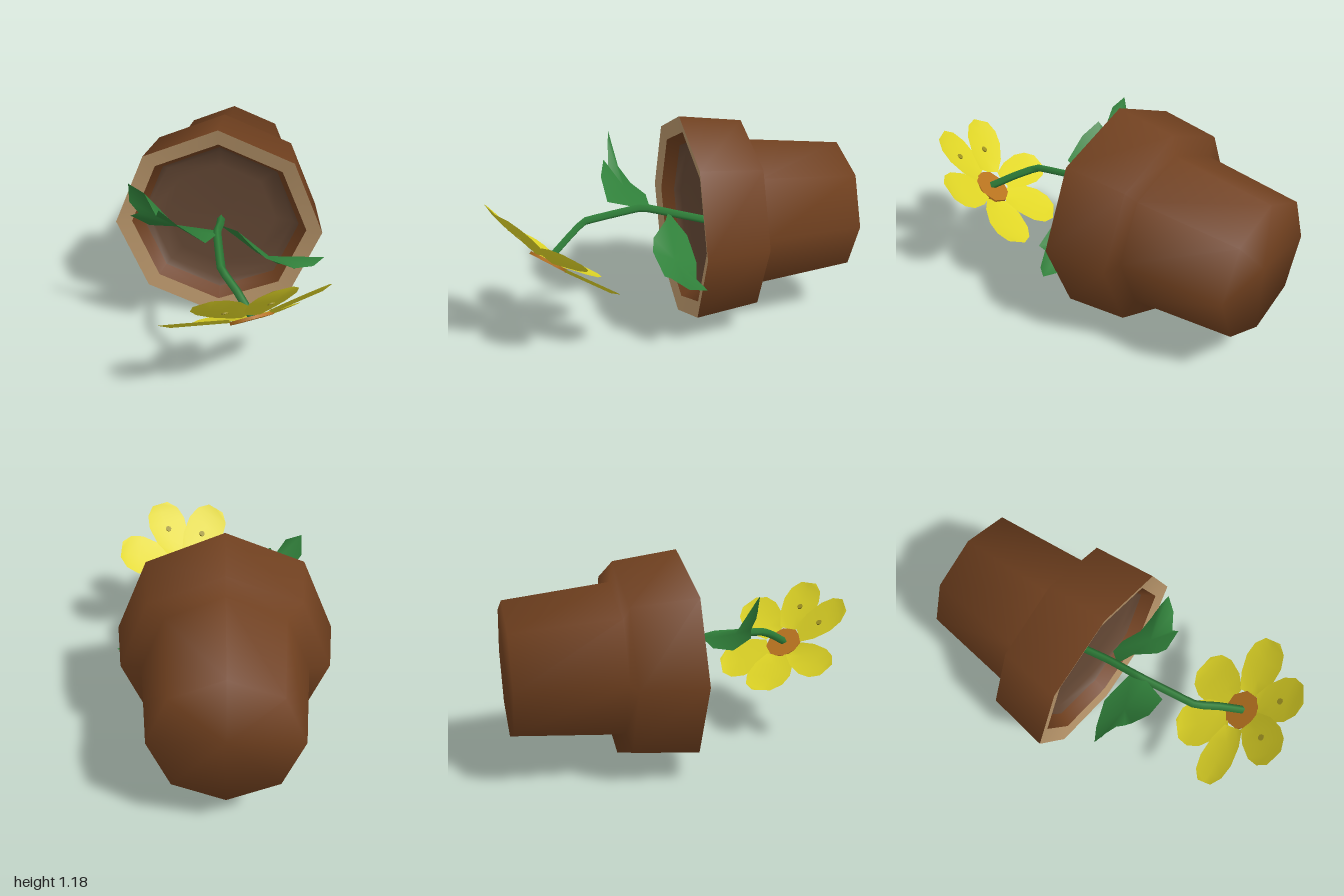
import * as THREE from 'three';

const mat = (name, color) => {
  const m = new THREE.MeshStandardMaterial({ color, side: THREE.DoubleSide });
  m.name = name;
  return m;
};

const V = (p) => new THREE.Vector3(...p);

function surface(points, index) {
  const g = new THREE.BufferGeometry();
  g.setAttribute('position', new THREE.Float32BufferAttribute(points.flatMap((p) => p.toArray()), 3));
  g.setIndex(index);
  g.computeVertexNormals();
  return g;
}

// Triangle fan from a mid-rib point around a ragged outline
function fan(centre, outline) {
  const index = [];
  const n = outline.length;
  for (let i = 0; i < n; i++) index.push(0, 1 + i, 1 + ((i + 1) % n));
  return surface([centre, ...outline].map(V), index);
}

// Petal: rows of left, middle and right points, broad enough to meet its neighbours
function petal(centre, tip, halfWidth, normal) {
  const dir = tip.clone().sub(centre);
  const side = normal.clone().cross(dir).normalize();
  const rows = [[0.24, 0.55], [0.45, 0.88], [0.7, 1], [0.88, 0.84], [1, 0.42]];
  const points = [];
  const index = [];
  rows.forEach(([t, w], r) => {
    for (let c = -1; c <= 1; c++) {
      points.push(centre.clone().addScaledVector(dir, t)
        .addScaledVector(side, c * w * halfWidth)
        .addScaledVector(normal, c === 0 && r < 4 ? 0.015 : 0));
    }
    if (r === 0) return;
    for (let c = 0; c < 2; c++) {
      const a = (r - 1) * 3 + c, b = a + 3;
      index.push(a, a + 1, b, a + 1, b + 1, b);
    }
  });
  return surface(points, index);
}

export function createModel() {
  const model = new THREE.Group();
  const clay = mat('clay', 0x70401f);
  const paleClay = mat('paleClay', 0xb8956a);
  const soil = mat('soil', 0x634734);
  const green = mat('leafGreen', 0x30803a);
  const yellow = mat('petalYellow', 0xe0d626);
  const olive = mat('petalSpot', 0x9c8f20);
  const orange = mat('flowerCentre', 0xb9731f);
  const add = (name, geometry, material, parent = model) => {
    const mesh = new THREE.Mesh(geometry, material);
    mesh.name = name;
    parent.add(mesh);
    return mesh;
  };

  // Octagonal pot lying on its side: base, wall, collar, lip, inner wall, hollow soil.
  // Doubled points keep the lip's edges sharp.
  const profile = [
    [0, -1], [0.375, -1], [0.435, -0.435], [0.545, -0.415], [0.59, -0.065],
    [0.59, -0.065], [0.5, -0.085], [0.5, -0.085], [0.455, -0.155],
    [0.42, -0.19], [0.32, -0.212], [0, -0.218],
  ];
  const bandMaterial = [0, 0, 0, 0, 1, 1, 0, 0, 2, 2, 2];
  const sides = 8;
  const pot = new THREE.LatheGeometry(profile.map(([r, z]) => new THREE.Vector2(r, z)), sides);
  pot.normalizeNormals();
  for (let i = 0; i < sides; i++) {
    bandMaterial.forEach((m, j) => pot.addGroup((i * bandMaterial.length + j) * 6, 6, m));
  }
  pot.rotateX(Math.PI / 2);
  add('pot', pot, [clay, paleClay, soil]).position.set(-0.02, 0.59, 0);

  // Bent stem
  const path = [
    [-0.02, 0.56, -0.23], [-0.005, 0.62, -0.05], [0, 0.68, 0.15],
    [0.06, 0.655, 0.48], [0.15, 0.6, 0.59], [0.235, 0.53, 0.7],
  ].map(V);
  const curve = new THREE.CatmullRomCurve3(path, false, 'catmullrom', 0.1);
  add('stem', new THREE.TubeGeometry(curve, 20, 0.023, 4), green);

  // Ragged leaves
  add('rightLeaf', fan([-0.21, 0.735, 0.21], [
    [0, 0.66, 0.1], [-0.22, 0.67, 0.08], [-0.37, 0.695, 0.14], [-0.46, 0.78, 0.2],
    [-0.41, 0.81, 0.22], [-0.455, 0.88, 0.23], [-0.45, 0.995, 0.25], [-0.365, 0.955, 0.27],
    [-0.305, 0.83, 0.28], [-0.285, 0.88, 0.31], [-0.18, 0.815, 0.345], [-0.04, 0.715, 0.335],
    [0, 0.69, 0.2],
  ]), green);
  add('leftLeaf', fan([0.28, 0.475, 0.03], [
    [0, 0.64, 0], [0.1, 0.63, 0.04], [0.2, 0.58, 0.13], [0.27, 0.53, 0.15],
    [0.43, 0.46, 0.125], [0.42, 0.44, 0.09], [0.53, 0.42, 0.02], [0.59, 0.435, -0.06],
    [0.5, 0.41, -0.07], [0.44, 0.38, -0.07], [0.33, 0.36, -0.075], [0.2, 0.41, -0.11],
    [0.08, 0.52, -0.09],
  ]), green);

  // Drooping flower with six petals, two of them spotted
  const flower = new THREE.Group();
  flower.name = 'flower';
  model.add(flower);
  const centre = V([0.235, 0.52, 0.7]);
  const normal = V([0.32, -0.77, 0.55]).normalize();
  const disc = (name, radius, thickness, material, position) => {
    const mesh = add(name, new THREE.CylinderGeometry(radius, radius, thickness, 8), material, flower);
    mesh.position.copy(position);
    mesh.quaternion.setFromUnitVectors(new THREE.Vector3(0, 1, 0), normal);
  };
  const petals = [
    [[0.385, 0.36, 0.35], 0.142], [[0.61, 0.695, 0.62], 0.128],
    [[0.385, 0.85, 0.925], 0.125, 0.62], [[0.03, 0.785, 0.99], 0.122, 0.58],
    [[-0.22, 0.48, 0.76], 0.11], [[-0.02, 0.325, 0.45], 0.142],
  ];
  for (const [tip, width, spot] of petals) {
    add('petal', petal(centre, V(tip), width, normal), yellow, flower);
    if (spot) {
      const at = centre.clone().lerp(V(tip), spot).addScaledVector(normal, 0.013);
      disc('petalSpot', 0.018, 0.009, olive, at);
    }
  }
  disc('flowerCentre', 0.112, 0.016, orange, centre);

  return model;
}
